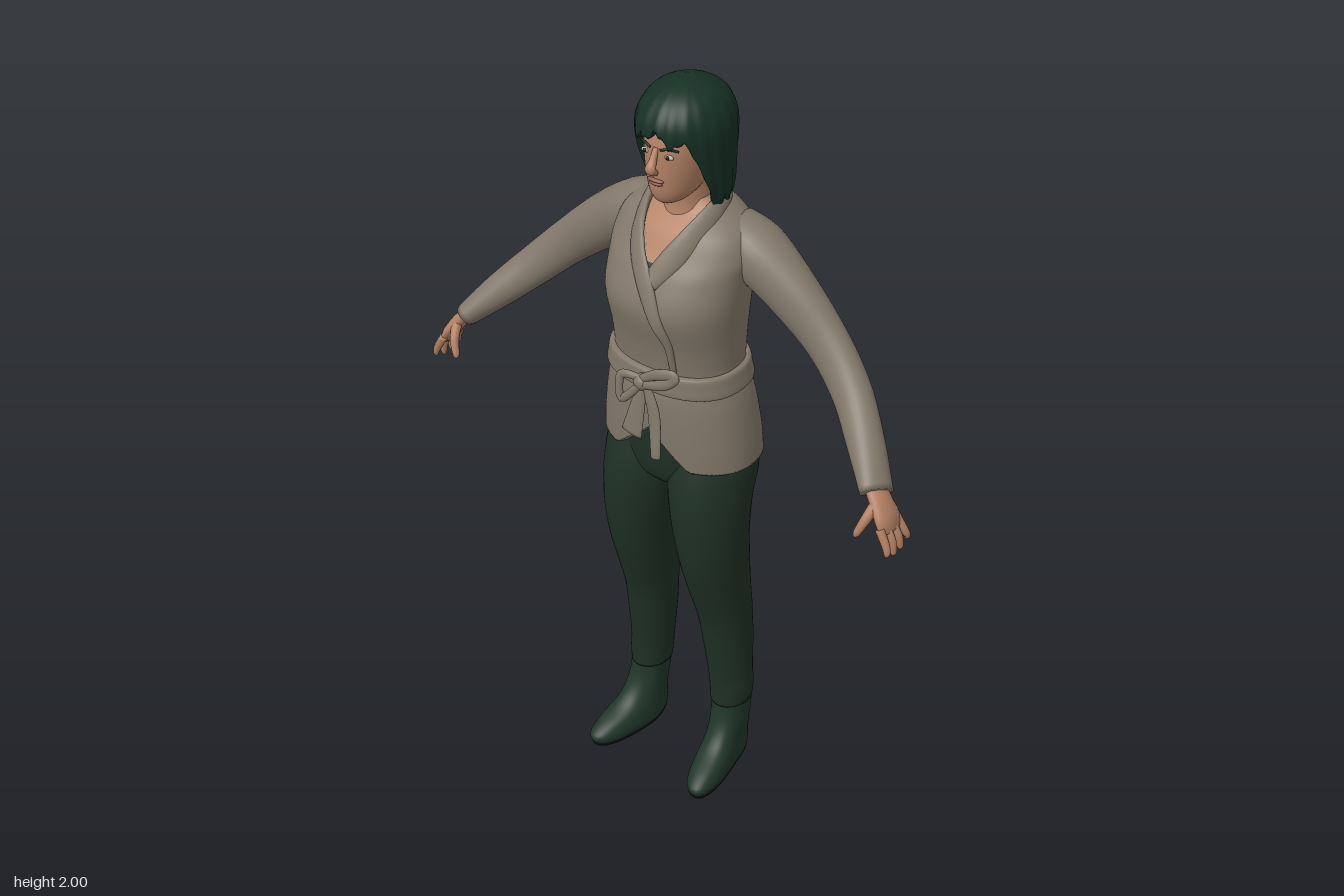
import * as THREE from 'three';

const mat = (name, color, side = THREE.FrontSide) => {
  const m = new THREE.MeshStandardMaterial({ color, side });
  m.name = name;
  return m;
};

// Catmull-Rom subdivision of rows of numbers, k steps per span
function resample(rows, k) {
  const out = [], last = rows.length - 1;
  for (let i = 0; i < last; i++) {
    const [p0, p1, p2, p3] = [-1, 0, 1, 2].map(o => rows[Math.min(last, Math.max(0, i + o))]);
    for (let j = 0; j < k; j++) {
      const t = j / k;
      out.push(p1.map((b, c) => {
        const slope = p2[c] - p0[c];
        const square = 2 * p0[c] - 5 * b + 4 * p2[c] - p3[c];
        const cube = 3 * (b - p2[c]) + p3[c] - p0[c];
        return b + 0.5 * t * (slope + t * (square + t * cube));
      }));
    }
  }
  out.push(rows[last]);
  return out;
}

// Skin a list of rings with closed ends; pick() sorts faces into material groups
function skin(rings, pick = () => 0) {
  const n = rings[0].length;
  const centre = r => {
    const c = r.reduce((s, v) => s.add(v), new THREE.Vector3()).divideScalar(n);
    return r.map(() => c);
  };
  const all = [centre(rings[0]), ...rings, centre(rings[rings.length - 1])];
  const flat = all.flat(), lists = [[], [], []];
  for (let i = 0; i < all.length - 1; i++) for (let j = 0; j < n; j++) {
    const a = i * n + j, b = i * n + (j + 1) % n, c = b + n, d = a + n;
    const mid = flat[a].clone().add(flat[c]).multiplyScalar(0.5);
    lists[pick(mid)].push(a, b, c, a, c, d);
  }
  const g = new THREE.BufferGeometry().setFromPoints(flat);
  g.setIndex(lists.flat());
  let start = 0;
  lists.forEach((l, i) => { if (l.length) g.addGroup(start, l.length, i); start += l.length; });
  g.computeVertexNormals();
  return g;
}

// Horizontal sections [y, x0, x1, zFront, zBack] stacked upward
function stack(rows, { s = 1, p = 2, k = 5, n = 40, warp, pick } = {}) {
  const pw = v => Math.sign(v) * Math.abs(v) ** (2 / p);
  return skin(resample(rows, k).map(([y, x0, x1, zf, zb]) => Array.from({ length: n }, (_, j) => {
    const a = j / n * Math.PI * 2;
    const v = new THREE.Vector3(s * (x0 + x1) / 2 + (x1 - x0) / 2 * pw(Math.sin(a)), y,
      (zf + zb) / 2 + (zf - zb) / 2 * pw(Math.cos(a)));
    if (warp) warp(v);
    return v;
  })), pick);
}
const sym = rows => rows.map(([y, r, f, b]) => [y, -r, r, f, b]);

// Elliptical sections along a path of [x, y, z, halfWidth, halfThickness]
const zAxis = () => new THREE.Vector3(0, 0, 1);
function sweep(rows, { s = 1, k = 6, n = 16, hint = zAxis } = {}) {
  const pts = resample(rows, k), pos = pts.map(p => new THREE.Vector3(p[0] * s, p[1], p[2]));
  return skin(pos.map((p, i) => {
    const t = pos[Math.min(i + 1, pos.length - 1)].clone().sub(pos[Math.max(i - 1, 0)]).normalize();
    const side = t.clone().cross(hint(p)).normalize(), nrm = side.clone().cross(t);
    return Array.from({ length: n }, (_, j) => {
      const a = j / n * Math.PI * 2;
      return p.clone().addScaledVector(side, Math.sin(a) * pts[i][3]).addScaledVector(nrm, Math.cos(a) * pts[i][4]);
    });
  }));
}

// Hair cap whose lower edge rises over the face and ends in ragged strands
function hairGeometry() {
  const prof = resample([[1.69, 0.092, 0.04, -0.133], [1.75, 0.106, 0.05, -0.14], [1.8, 0.11, 0.07, -0.146],
    [1.87, 0.113, 0.094, -0.155], [1.92, 0.11, 0.094, -0.152], [1.96, 0.092, 0.07, -0.134],
    [1.985, 0.062, 0.035, -0.1], [2, 0.02, -0.01, -0.05]], 6);
  const n = 96, steps = 22;
  const point = (a, t, inset) => {
    const edge = 1.885 + 0.025 * Math.exp(-((a / 0.2) ** 2)) - 0.175 * THREE.MathUtils.smoothstep(Math.abs(a), 0.7, 1.2)
      + 0.008 * Math.sin(13 * a) + 0.006 * Math.sin(29 * a + 1);
    const y = edge + (2 - edge) * Math.sin(t * Math.PI / 2);
    const above = prof.findIndex(r => r[0] > y);
    const i = above < 0 ? prof.length - 2 : Math.max(0, above - 1), p = prof[i], q = prof[i + 1];
    const u = THREE.MathUtils.clamp((y - p[0]) / (q[0] - p[0]), 0, 1);
    const [, rx, zf, zb] = p.map((v, c) => v + (q[c] - v) * u);
    const r = inset * (1 + 0.018 * (1 - t) * Math.sin(19 * a + 3 * t));
    return new THREE.Vector3(rx * r * Math.sin(a), y, (zf + zb) / 2 + (zf - zb) / 2 * r * Math.cos(a));
  };
  const ring = (t, inset) => Array.from({ length: n }, (_, j) => {
    const a = j / n * Math.PI * 2;
    return point(a > Math.PI ? a - 2 * Math.PI : a, t, inset);
  });
  const rings = [ring(0.35, 0.8), ring(0.02, 0.86)];
  for (let i = 0; i <= steps; i++) rings.push(ring(i / steps, 1));
  return skin(rings);
}

export function createModel() {
  const group = new THREE.Group();
  group.name = 'standingWoman';
  const jacket = mat('taupeKnit', 0x82786a), skinTone = mat('skin', 0xb38164), trousers = mat('darkGreenCloth', 0x1f3025);
  const boot = mat('greenBoot', 0x21362a), hair = mat('darkGreenHair', 0x163024, THREE.DoubleSide);
  const sole = mat('blackSole', 0x15191a), lip = mat('lips', 0x95604c), white = mat('eyeWhite', 0xb9b0a5);
  const add = (name, geometry, material) => {
    const m = new THREE.Mesh(geometry, material);
    m.name = name;
    group.add(m);
    return m;
  };
  const blob = (name, material, x, y, z, sx, sy, sz) => {
    const m = add(name, new THREE.SphereGeometry(1, 16, 12), material);
    m.position.set(x, y, z);
    m.scale.set(sx, sy, sz);
  };

  // Jacket body with a raised front hem and an open neckline
  add('jacketBody', stack(sym([[1.03, 0.212, 0.122, -0.165], [1.1, 0.206, 0.125, -0.162], [1.2, 0.19, 0.125, -0.15],
    [1.28, 0.168, 0.118, -0.13], [1.36, 0.168, 0.128, -0.135], [1.47, 0.176, 0.152, -0.148], [1.55, 0.18, 0.125, -0.155],
    [1.6, 0.184, 0.09, -0.156], [1.65, 0.165, 0.055, -0.15], [1.69, 0.11, 0.01, -0.135], [1.715, 0.065, 0, -0.11]]), {
    p: 2.3, k: 8, n: 96,
    warp: v => {
      if (v.z > 0 && v.y < 1.25) v.y += 0.1 * Math.max(0, 1 - Math.abs(v.x) / 0.11) * (1.25 - v.y) / 0.22;
    },
    pick: c => c.z > -0.03 && c.y > 1.555 && Math.abs(c.x) < (c.y - 1.55) * 0.6 ? (c.y < 1.58 ? 2 : 1) : 0,
  }), [jacket, skinTone, trousers]);

  // Shawl collar: round the neck, with the right edge crossing over the left
  const outward = p => new THREE.Vector3(p.x, 0.03, p.z + 0.06);
  const lapel = [[0, 1.705, -0.122, 0.02, 0.012], [0.07, 1.71, -0.09, 0.022, 0.012], [0.09, 1.695, -0.02, 0.026, 0.012],
    [0.075, 1.65, 0.05, 0.028, 0.01], [0.047, 1.6, 0.096, 0.028, 0.009], [0.012, 1.545, 0.132, 0.022, 0.008]];
  add('leftLapel', sweep(lapel, { hint: outward }), jacket);
  add('rightLapel', sweep([...lapel.slice(0, 5), [0, 1.545, 0.133, 0.024, 0.009], [0.045, 1.46, 0.15, 0.016, 0.008],
    [0.068, 1.39, 0.131, 0.01, 0.007], [0.07, 1.3, 0.112, 0.008, 0.006]].map(([x, ...r], i) => [i < 5 ? -x : x, ...r]),
  { hint: outward }), jacket);

  // Belt and bow
  add('belt', stack(sym([[1.245, 0.18, 0.128, -0.142], [1.25, 0.187, 0.135, -0.149], [1.275, 0.183, 0.134, -0.146],
    [1.298, 0.178, 0.132, -0.142], [1.303, 0.17, 0.124, -0.134]]), { p: 2.3, n: 64 }), jacket);
  blob('beltKnot', jacket, 0, 1.275, 0.145, 0.022, 0.022, 0.02);
  const bow = {
    smallLoop: [[0, 1.285, 0.148, 0.01, 0.008], [-0.055, 1.28, 0.155, 0.011, 0.008], [-0.052, 1.215, 0.16, 0.011, 0.008],
      [0, 1.27, 0.155, 0.01, 0.008]],
    largeLoop: [[0, 1.285, 0.148, 0.01, 0.008], [0.055, 1.322, 0.155, 0.014, 0.008], [0.1, 1.33, 0.15, 0.015, 0.008],
      [0.07, 1.298, 0.155, 0.014, 0.008], [0, 1.27, 0.152, 0.01, 0.008]],
    shortTail: [[0.005, 1.28, 0.148, 0.012, 0.007], [-0.008, 1.2, 0.155, 0.022, 0.007], [-0.022, 1.125, 0.16, 0.03, 0.006]],
    longTail: [[0.01, 1.28, 0.148, 0.012, 0.007], [0.04, 1.2, 0.152, 0.018, 0.007], [0.055, 1.085, 0.166, 0.014, 0.006]],
  };
  for (const [name, path] of Object.entries(bow)) add(name, sweep(path), jacket);

  // Hips
  add('hips', stack(sym([[0.93, 0.04, 0.04, -0.07], [0.95, 0.12, 0.085, -0.11], [1, 0.165, 0.108, -0.138],
    [1.1, 0.17, 0.112, -0.135], [1.2, 0.15, 0.095, -0.115]])), trousers);

  const toeOut = s => v => { v.x += s * 0.17 * Math.max(0, v.z + 0.02); };
  for (const s of [1, -1]) {
    const side = s > 0 ? 'left' : 'right';
    // Sleeve and hand
    add(side + 'Sleeve', sweep([[0.1, 1.63, -0.075, 0.055, 0.068], [0.17, 1.592, -0.075, 0.073, 0.077],
      [0.27, 1.525, -0.07, 0.068, 0.061], [0.38, 1.432, -0.062, 0.058, 0.047], [0.47, 1.345, -0.035, 0.052, 0.045],
      [0.55, 1.265, 0.02, 0.044, 0.046], [0.622, 1.19, 0.078, 0.03, 0.046]], { s, n: 32 }), jacket);
    add(side + 'Palm', sweep([[0.6, 1.212, 0.065, 0.02, 0.03], [0.635, 1.175, 0.08, 0.019, 0.034],
      [0.66, 1.14, 0.087, 0.017, 0.042], [0.672, 1.112, 0.09, 0.011, 0.038]], { s }), skinTone);
    for (let f = 0; f < 4; f++) {
      const z = 0.055 + 0.023 * f, tip = 0.042 + 0.029 * f, drop = f === 0 || f === 3 ? 0.012 : 0;
      add(side + 'Finger' + (f + 1), sweep([[0.664, 1.13, z, 0.011, 0.011], [0.684, 1.095, (z + tip) / 2, 0.01, 0.01],
        [0.69, 1.065 + drop, tip, 0.008, 0.008], [0.688, 1.055 + drop, tip, 0.004, 0.004]], { s, n: 10 }), skinTone);
    }
    add(side + 'Thumb', sweep([[0.635, 1.175, 0.1, 0.014, 0.014], [0.625, 1.14, 0.125, 0.012, 0.012],
      [0.612, 1.105, 0.137, 0.009, 0.009], [0.608, 1.095, 0.139, 0.004, 0.004]], { s, n: 10 }), skinTone);

    // Trouser leg
    add(side + 'Leg', stack([[0.205, 0.082, 0.187, 0.006, -0.121], [0.25, 0.078, 0.19, 0.006, -0.123],
      [0.3, 0.073, 0.187, 0.008, -0.122], [0.4, 0.063, 0.187, 0.022, -0.126], [0.5, 0.053, 0.188, 0.038, -0.122],
      [0.6, 0.043, 0.19, 0.07, -0.113], [0.7, 0.033, 0.195, 0.1, -0.105], [0.8, 0.02, 0.2, 0.118, -0.1],
      [0.9, 0.004, 0.203, 0.122, -0.112], [0.97, -0.01, 0.204, 0.115, -0.138], [1.03, -0.015, 0.199, 0.1, -0.14],
      [1.1, -0.01, 0.17, 0.08, -0.12]], { s }), trousers);

    // Boot and sole
    add(side + 'Boot', stack([[0.008, 0.092, 0.184, 0.158, -0.11], [0.03, 0.088, 0.188, 0.163, -0.113],
      [0.055, 0.09, 0.186, 0.13, -0.112], [0.085, 0.092, 0.184, 0.065, -0.109], [0.12, 0.092, 0.184, 0.028, -0.108],
      [0.17, 0.089, 0.184, 0.006, -0.114], [0.24, 0.084, 0.184, -0.002, -0.117]],
    { s, p: 2.3, warp: toeOut(s) }), boot);
    add(side + 'Sole', stack([[0, 0.093, 0.183, 0.157, -0.109], [0.01, 0.091, 0.185, 0.16, -0.111]],
      { s, p: 2.3, k: 2, warp: toeOut(s) }), sole);

    // Eye and brow
    blob(side + 'Eye', white, s * 0.032, 1.855, 0.08, 0.013, 0.006, 0.006);
    blob(side + 'Iris', sole, s * 0.032, 1.855, 0.084, 0.005, 0.005, 0.004);
    add(side + 'Brow', sweep([[0.014, 1.871, 0.088, 0.003, 0.003], [0.034, 1.876, 0.083, 0.003, 0.003],
      [0.052, 1.87, 0.069, 0.002, 0.003]], { s, n: 8 }), hair);
  }

  // Head, neck and face
  add('neck', stack(sym([[1.64, 0.07, 0.035, -0.11], [1.7, 0.056, 0.022, -0.1], [1.77, 0.055, 0.03, -0.1]])), skinTone);
  add('head', stack(sym([[1.722, 0.022, 0.062, 0], [1.733, 0.04, 0.075, -0.03], [1.755, 0.056, 0.084, -0.07],
    [1.79, 0.068, 0.088, -0.1], [1.83, 0.076, 0.089, -0.112], [1.87, 0.08, 0.087, -0.12], [1.92, 0.078, 0.072, -0.11],
    [1.96, 0.05, 0.03, -0.08]])), skinTone);
  add('nose', sweep([[0, 1.872, 0.084, 0.007, 0.006], [0, 1.845, 0.096, 0.009, 0.009], [0, 1.825, 0.106, 0.014, 0.011],
    [0, 1.812, 0.092, 0.011, 0.008]]), skinTone);
  blob('upperLip', lip, 0, 1.791, 0.087, 0.023, 0.005, 0.008);
  blob('lowerLip', lip, 0, 1.783, 0.086, 0.019, 0.005, 0.008);
  add('hair', hairGeometry(), hair);
  return group;
}
